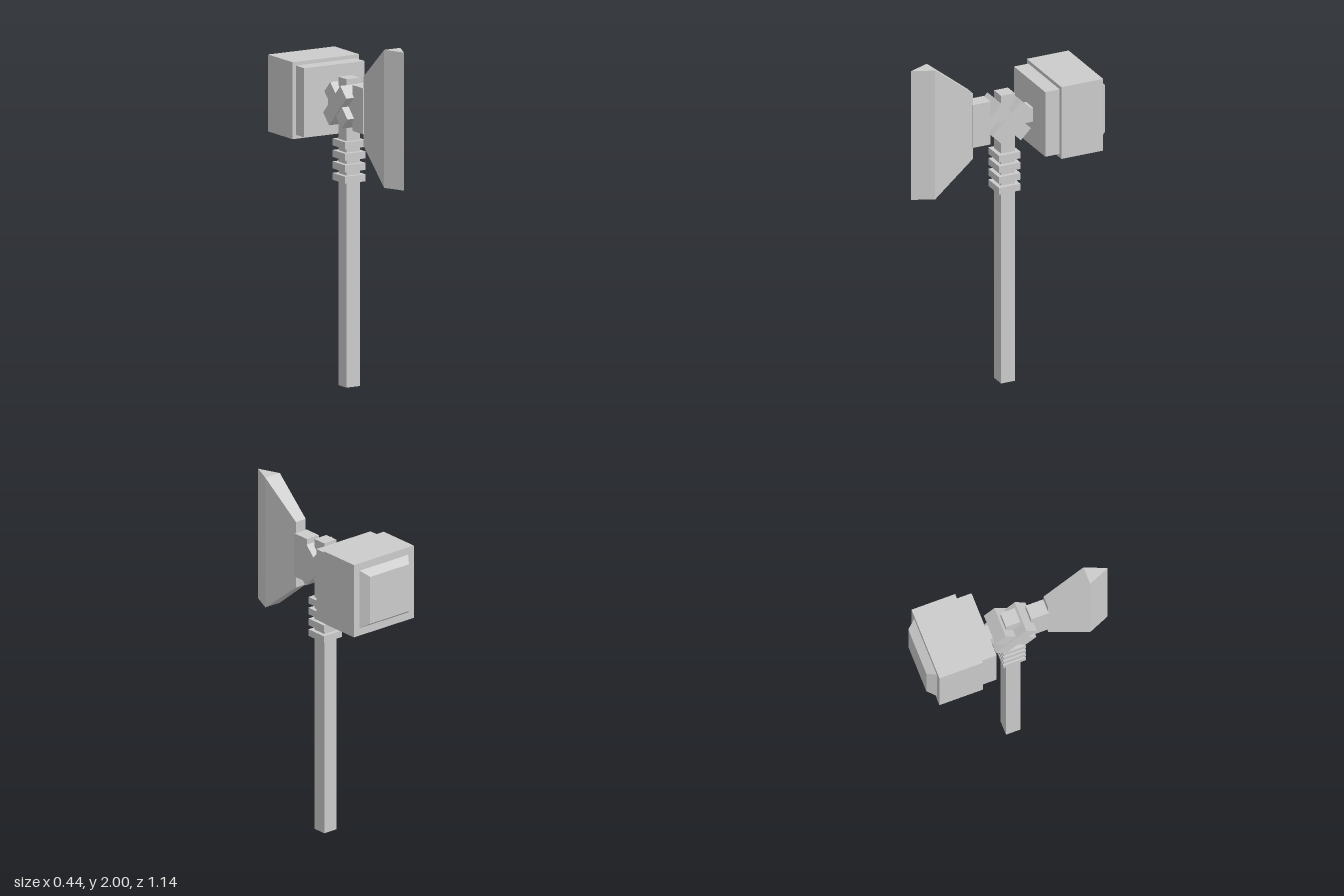
import * as THREE from 'three';

const material = new THREE.MeshStandardMaterial({ color: 0xcccccc, flatShading: true });

function add(group, name, geometry) {
  const mesh = new THREE.Mesh(geometry, material);
  mesh.name = name;
  group.add(mesh);
  return mesh;
}

// Box centred on x, given its half width and its y and z ranges
function block(group, name, halfX, y0, y1, z0, z1) {
  const mesh = add(group, name, new THREE.BoxGeometry(halfX * 2, y1 - y0, z1 - z0));
  mesh.position.set(0, (y0 + y1) / 2, (z0 + z1) / 2);
  return mesh;
}

// Solid lofted along +z through rectangular sections [z, halfX, y0, y1]
function loft(sections) {
  const positions = [];
  const index = [];
  for (const [z, h, y0, y1] of sections) {
    positions.push(-h, y0, z, h, y0, z, h, y1, z, -h, y1, z);
  }
  for (let s = 0; s < sections.length - 1; s++) {
    for (let i = 0; i < 4; i++) {
      const a = s * 4 + i;
      const b = s * 4 + (i + 1) % 4;
      index.push(a, b, b + 4, a, b + 4, a + 4);
    }
  }
  const e = (sections.length - 1) * 4;
  index.push(0, 2, 1, 0, 3, 2, e, e + 1, e + 2, e, e + 2, e + 3);
  const geometry = new THREE.BufferGeometry();
  geometry.setAttribute('position', new THREE.Float32BufferAttribute(positions, 3));
  geometry.setIndex(index);
  const flat = geometry.toNonIndexed();
  flat.computeVertexNormals();
  return flat;
}

export function createModel() {
  const model = new THREE.Group();
  model.name = 'axeHammer';
  const axisZ = -0.013;

  // Square shaft with four collars below the head
  block(model, 'shaft', 0.044, 0, 1.76, axisZ - 0.043, axisZ + 0.043);
  const collars = new THREE.Group();
  collars.name = 'collars';
  model.add(collars);
  for (let i = 0; i < 4; i++) {
    const y = 1.17 + i * 0.0655;
    block(collars, 'collar', 0.067, y, y + 0.04, axisZ - 0.067, axisZ + 0.067);
  }

  // Crossed binding around the joint
  const binding = new THREE.Group();
  binding.name = 'crossBinding';
  model.add(binding);
  for (const side of [-1, 1]) {
    const bar = add(binding, 'bindingBar', new THREE.BoxGeometry(0.182, 0.258, 0.089));
    bar.position.set(side * 0.004, 1.608, axisZ);
    bar.rotation.x = -side * Math.PI / 4;
  }

  // Rod through the joint, and the blade socket
  block(model, 'crossRod', 0.043, 1.563, 1.65, -0.18, 0.1);
  block(model, 'bladeSocket', 0.044, 1.476, 1.738, 0.095, 0.205);

  // Axe blade, flaring and then narrowing to a vertical edge
  add(model, 'axeBlade', loft([
    [0.2, 0.036, 1.407, 1.805],
    [0.445, 0.053, 1.212, 2],
    [0.57, 0, 1.212, 2],
  ]));

  // Hammer head: collar plate, main block and bevelled striking face
  block(model, 'hammerPlate', 0.198, 1.41, 1.805, -0.262, -0.17);
  block(model, 'hammerBlock', 0.219, 1.387, 1.826, -0.521, -0.26);
  add(model, 'strikingFace', loft([
    [-0.57, 0.142, 1.464, 1.749],
    [-0.521, 0.177, 1.432, 1.781],
  ]));

  return model;
}
